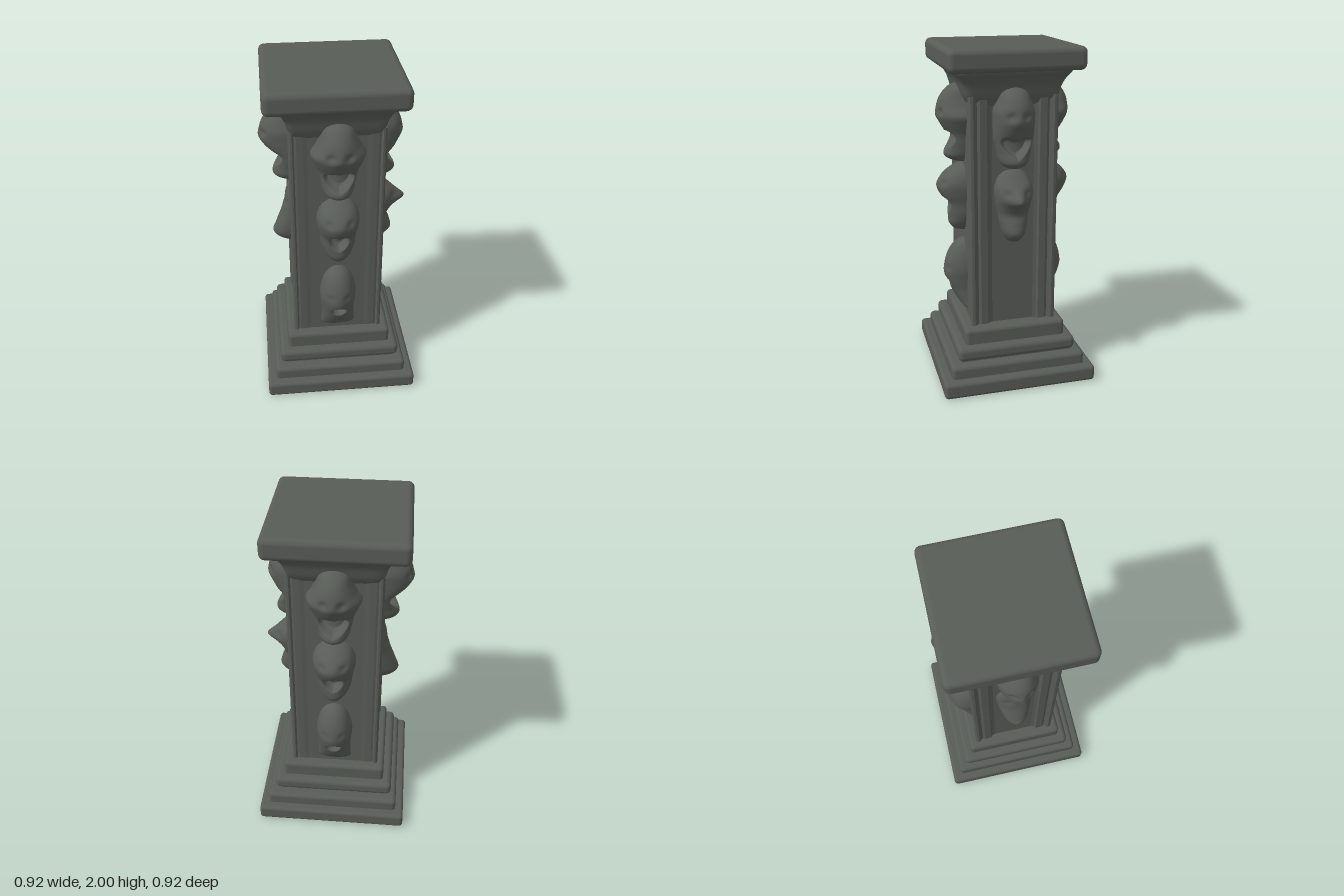
import * as THREE from 'three';
import { RoundedBoxGeometry } from 'three/addons/geometries/RoundedBoxGeometry.js';

const stone = new THREE.MeshStandardMaterial({ color: 0x585c57, side: THREE.DoubleSide });
stone.name = 'darkStone';

function add(parent, name, geometry) {
  const mesh = new THREE.Mesh(geometry, stone);
  mesh.name = name;
  parent.add(mesh);
  return mesh;
}

// Rounded slab between two x limits, half depth hz, and two heights
function slab(parent, name, x0, x1, hz, y0, y1, r) {
  const g = new RoundedBoxGeometry(x1 - x0, y1 - y0, hz * 2, 4, r);
  add(parent, name, g).position.set((x0 + x1) / 2, (y0 + y1) / 2, 0);
}

// Indexed surface from a grid of points: cols run right to left, rows run upward
function gridSurface(rows, cols, point) {
  const pos = [], idx = [];
  for (let j = 0; j <= rows; j++)
    for (let i = 0; i <= cols; i++) pos.push(...point(i / cols, j / rows));
  for (let j = 0; j < rows; j++)
    for (let i = 0; i < cols; i++) {
      const a = j * (cols + 1) + i, b = a + 1, c = a + cols + 1, d = c + 1;
      idx.push(a, c, b, b, c, d);
    }
  const g = new THREE.BufferGeometry();
  g.setAttribute('position', new THREE.Float32BufferAttribute(pos, 3));
  g.setIndex(idx);
  g.computeVertexNormals();
  return g;
}

// Flared neck: square cross-sections with rounded corners
function flare(profile) {
  const curve = new THREE.CatmullRomCurve3(profile.map(([y, h]) => new THREE.Vector3(h, y, 0)));
  return gridSurface(20, 96, (u, v) => {
    const p = curve.getPoint(v), t = u * Math.PI * 2;
    const c = Math.cos(t), s = Math.sin(t);
    const k = p.x / Math.pow(Math.abs(c) ** 18 + Math.abs(s) ** 18, 1 / 18);
    return [c * k, p.y, s * k];
  });
}

// Shaft outline: rounded corner posts, recessed side panels, shallow front and back panels
function shaft() {
  const quarter = [[0.238, 0], [0.238, 0.125], [0.245, 0.145], [0.258, 0.155], [0.259, 0.195], [0.25, 0.21], [0.259, 0.222],
    [0.27, 0.235], [0.268, 0.25], [0.258, 0.259], [0.247, 0.26], [0.238, 0.246], [0.225, 0.25], [0.19, 0.25], [0.165, 0.246], [0, 0.246]];
  const half = [...quarter, ...quarter.slice(0, -1).reverse().map(([x, y]) => [-x, y])];
  const outline = [...half, ...half.slice(1, -1).reverse().map(([x, y]) => [x, -y])];
  const shape = new THREE.Shape(outline.map(([x, y]) => new THREE.Vector2(x, y)));
  const g = new THREE.ExtrudeGeometry(shape, { depth: 1.39, bevelEnabled: false });
  g.rotateX(-Math.PI / 2);
  return g;
}

const BASE = 0.21;
const bump = (x, y, w, h) => Math.exp(-((x / w) ** 2) - (y / h) ** 2);

// Relief head facing +z; rows are [height, half width, reach], mouth and eyes are carved in
function head({ rows, mouth, eyes, nose }) {
  const curve = new THREE.CatmullRomCurve3(rows.map(([y, w, z]) => new THREE.Vector3(w, y, z - BASE)));
  return gridSurface(72, 56, (u, v) => {
    const p = curve.getPoint(v), t = u * Math.PI;
    const x = Math.max(p.x, 0) * Math.cos(t);
    let z = Math.max(p.z, 0) * Math.pow(Math.sin(t), 0.75);
    if (mouth) {
      const [my, mw, mh, depth, heart] = mouth;
      const m = Math.hypot(x / mw, (p.y - my - heart * Math.abs(x)) / mh);
      z -= depth * (1 - THREE.MathUtils.smoothstep(m, 0.7, 1.1));
    }
    z -= eyes[2] * bump(Math.abs(x) - eyes[0], p.y - eyes[1], 0.025, 0.022);
    z += nose[1] * bump(x, p.y - nose[0], 0.04, 0.04);
    return [x, p.y, BASE + Math.max(z, 0)];
  });
}

const topRows = [[1.32, 0, 0.21], [1.325, 0.05, 0.3], [1.36, 0.085, 0.355], [1.42, 0.1, 0.345], [1.49, 0.115, 0.345],
  [1.55, 0.14, 0.375], [1.6, 0.155, 0.395], [1.65, 0.125, 0.392], [1.7, 0.1, 0.375], [1.75, 0.08, 0.335], [1.775, 0.045, 0.29], [1.785, 0, 0.21]];
const midRows = [[0.89, 0, 0.21], [0.9, 0.04, 0.3], [0.94, 0.075, 0.335], [1.0, 0.1, 0.34], [1.07, 0.108, 0.35],
  [1.13, 0.12, 0.385], [1.19, 0.125, 0.4], [1.24, 0.112, 0.37], [1.28, 0.085, 0.32], [1.305, 0.045, 0.27], [1.315, 0, 0.21]];
const lowRows = [[0.38, 0, 0.21], [0.4, 0.11, 0.265], [0.45, 0.105, 0.3], [0.52, 0.1, 0.335], [0.58, 0.105, 0.36],
  [0.65, 0.11, 0.37], [0.72, 0.1, 0.355], [0.78, 0.08, 0.325], [0.82, 0.05, 0.285], [0.845, 0, 0.21]];
// Side head with a beak-like nose
const beakRows = [[0.87, 0, 0.21], [0.885, 0.04, 0.29], [0.94, 0.07, 0.35], [1.0, 0.085, 0.34], [1.05, 0.092, 0.325],
  [1.1, 0.102, 0.345], [1.15, 0.11, 0.375], [1.2, 0.112, 0.37], [1.26, 0.095, 0.31], [1.3, 0.055, 0.26], [1.31, 0, 0.21]];
// Side head with a smooth brow and heavy chin
const chinRows = [[0.89, 0, 0.21], [0.905, 0.05, 0.32], [0.95, 0.08, 0.365], [1.01, 0.095, 0.35], [1.1, 0.105, 0.315],
  [1.17, 0.112, 0.297], [1.23, 0.1, 0.285], [1.28, 0.06, 0.265], [1.3, 0, 0.21]];

const frontHeads = [
  ['upperHead', { rows: topRows, mouth: [1.445, 0.082, 0.055, 0.068, 0.3], eyes: [0.05, 1.62, 0.018], nose: [1.6, 0.006] }],
  ['middleHead', { rows: midRows, mouth: [1.05, 0.055, 0.05, 0.065, 0.3], eyes: [0.06, 1.2, 0.015], nose: [1.16, 0.006] }],
  ['lowerHead', { rows: lowRows, mouth: [0.55, 0.042, 0.03, 0.06, 0.1], eyes: [0.05, 0.66, 0.008], nose: [0.62, 0.004] }],
];
const sideTop = (reach) => ({
  rows: topRows.map(([y, w, z]) => [y, Math.min(w, 0.118), y > 1.5 ? BASE + (z - BASE) * reach : z]),
  mouth: [1.44, 0.085, 0.05, 0.068, 0.5], eyes: [0.045, 1.63, 0.016], nose: [1.6, 0.006],
});
const faces = [
  { name: 'front', turn: 0, heads: frontHeads },
  { name: 'back', turn: Math.PI, heads: frontHeads },
  { name: 'left', turn: Math.PI / 2, heads: [['upperHead', sideTop(0.98)],
    ['middleHead', { rows: beakRows, eyes: [0.055, 1.19, 0.015], nose: [1.155, 0.05] }]] },
  { name: 'right', turn: -Math.PI / 2, heads: [['upperHead', sideTop(1.15)],
    ['middleHead', { rows: chinRows, eyes: [0.045, 1.17, 0.008], nose: [0.96, 0.004] }]] },
];

export function createModel() {
  const model = new THREE.Group();
  model.name = 'carvedPillar';

  // Stepped base
  slab(model, 'baseTier1', -0.46, 0.457, 0.462, 0, 0.097, 0.022);
  slab(model, 'baseTier2', -0.41, 0.402, 0.408, 0.07, 0.172, 0.025);
  slab(model, 'baseCore', -0.35, 0.34, 0.34, 0.1, 0.25, 0.01);
  slab(model, 'baseTier3', -0.375, 0.365, 0.36, 0.18, 0.265, 0.03);
  slab(model, 'baseTier4', -0.322, 0.312, 0.307, 0.23, 0.36, 0.025);

  // Shaft and capital
  add(model, 'shaft', shaft()).position.set(-0.01, 0.34, 0);
  const neck = flare([[1.66, 0.232], [1.69, 0.248], [1.73, 0.268], [1.79, 0.285], [1.83, 0.306], [1.86, 0.328], [1.89, 0.335]]);
  add(model, 'capitalFlare', neck).position.x = -0.012;
  slab(model, 'capitalSlab', -0.41, 0.367, 0.388, 1.87, 2, 0.035);

  // Carved heads on the four faces
  for (const { name, turn, heads } of faces) {
    const group = new THREE.Group();
    group.name = name + 'Heads';
    for (const [part, spec] of heads) add(group, part, head(spec));
    group.rotation.y = turn;
    group.position.x = -0.008;
    model.add(group);
  }
  return model;
}
